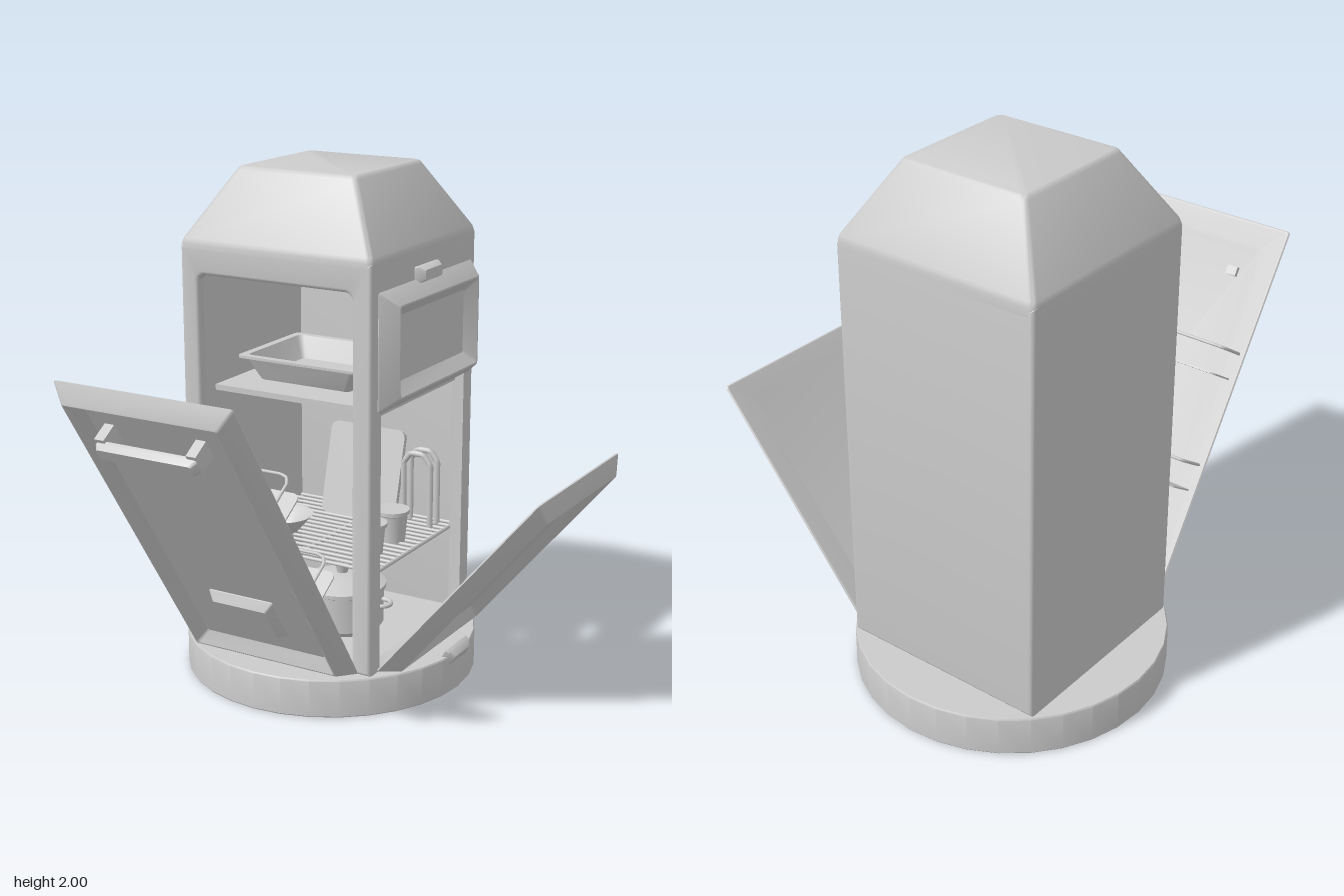
import * as THREE from 'three';
import { toCreasedNormals } from 'three/addons/utils/BufferGeometryUtils.js';

const mat = new THREE.MeshStandardMaterial({ color: 0xcccccc });
const thin = new THREE.MeshStandardMaterial({ color: 0xcccccc, side: THREE.DoubleSide });
const CX = -0.2475, CZ = -0.328, HALF = 0.4075;

function add(parent, name, geo, x = 0, y = 0, z = 0, material = mat) {
  const m = new THREE.Mesh(geo, material);
  m.name = name;
  m.position.set(x, y, z);
  parent.add(m);
  return m;
}

function group(parent, name, x = 0, y = 0, z = 0) {
  const g = new THREE.Group();
  g.name = name;
  g.position.set(x, y, z);
  parent.add(g);
  return g;
}

const box = (w, h, d) => new THREE.BoxGeometry(w, h, d);

// Rounded rectangle given by its limits
function roundRect(Type, x0, y0, x1, y1, r) {
  const s = new Type();
  s.absarc(x1 - r, y0 + r, r, -Math.PI / 2, 0);
  s.absarc(x1 - r, y1 - r, r, 0, Math.PI / 2);
  s.absarc(x0 + r, y1 - r, r, Math.PI / 2, Math.PI);
  s.absarc(x0 + r, y0 + r, r, Math.PI, Math.PI * 1.5);
  s.closePath();
  return s;
}

// Solid through rounded rectangles [halfWidth, halfHeight, z], capped at both ends
function loft(rings, r = 0.012, crease = 0.5) {
  const steps = 3, n = 4 * (steps + 1), pos = [], idx = [];
  for (const [w, h, z] of rings)
    for (let c = 0; c < 4; c++)
      for (let i = 0; i <= steps; i++) {
        const a = (c + i / steps) * Math.PI / 2 - Math.PI / 2;
        const sx = c < 2 ? 1 : -1, sy = c === 1 || c === 2 ? 1 : -1;
        pos.push(sx * (w - r) + r * Math.cos(a), sy * (h - r) + r * Math.sin(a), z);
      }
  for (let k = 0; k < rings.length - 1; k++)
    for (let i = 0; i < n; i++) {
      const a = k * n + i, b = k * n + (i + 1) % n;
      idx.push(a, b, b + n, a, b + n, a + n);
    }
  const last = (rings.length - 1) * n;
  for (let i = 1; i < n - 1; i++) idx.push(0, i + 1, i, last, last + i, last + i + 1);
  const g = new THREE.BufferGeometry();
  g.setAttribute('position', new THREE.Float32BufferAttribute(pos, 3));
  g.setIndex(idx);
  return toCreasedNormals(g, crease);
}
const loftUp = (rings, r, crease) => loft(rings, r, crease).rotateX(-Math.PI / 2);

// Straight-sided tube through points
function rod(points, radius) {
  const path = new THREE.CurvePath();
  const v = points.map(p => new THREE.Vector3(...p));
  for (let i = 1; i < v.length; i++) path.add(new THREE.LineCurve3(v[i - 1], v[i]));
  return new THREE.TubeGeometry(path, (v.length - 1) * 8, radius, 8, false);
}

const lathe = (pts, seg = 32) =>
  toCreasedNormals(new THREE.LatheGeometry(pts.map(p => new THREE.Vector2(...p)), seg), 0.6);

// Pressed door leaf: dished inside, raised rim and sunken panel outside; y runs from hinge to tip
function doorLeaf(parent, w, len) {
  const hw = w / 2, hl = len / 2;
  const ring = (inset, z) => [hw - inset, hl - inset, z];
  return add(parent, 'doorLeaf', loft([
    ring(0.095, 0.018), ring(0.012, 0), ring(0.004, 0), ring(0, 0.006),
    ring(0.045, 0.062), ring(0.05, 0.066), ring(0.056, 0.066), ring(0.1, 0.026),
  ], 0.01, 0.4), 0, hl, 0);
}

// Wedge-shaped finger tab
function tab(parent, name, x, y, z) {
  const g = loft([[0.09, 0.032, 0], [0.085, 0.032, 0.015], [0.065, 0.02, 0.04]], 0.006);
  const m = add(parent, name, g, x, y, z);
  m.rotation.y = Math.PI / 2;
  return m;
}

function buildBody(root) {
  const body = group(root, 'body', CX, 0, CZ);
  const T = 0.05, Y0 = 0.155, Y1 = 1.72, B = 0.015;
  const wall = (name, half, hole, bevel) => {
    const s = new THREE.Shape([[-half, Y0], [half, Y0], [half, Y1], [-half, Y1]].map(p => new THREE.Vector2(...p)));
    if (hole) s.holes.push(hole);
    const geo = new THREE.ExtrudeGeometry(s, {
      depth: bevel ? T - 2 * B : T, bevelEnabled: bevel, bevelSize: B, bevelThickness: B,
      bevelOffset: -B, bevelSegments: 4, curveSegments: 6,
    });
    geo.translate(0, 0, bevel ? HALF - T + B : HALF - T);
    return add(body, name, toCreasedNormals(geo, 0.5));
  };
  wall('frontFrame', HALF, roundRect(THREE.Path, -0.332, 0.17, 0.328, 1.61, 0.03), true);
  wall('backWall', HALF, null, true).rotation.y = Math.PI;
  wall('rightFrame', HALF - B, roundRect(THREE.Path, -0.33, 0.17, 0.33, 1.57, 0.004), false).rotation.y = Math.PI / 2;
  wall('leftWall', HALF - B, null, false).rotation.y = -Math.PI / 2;
  add(body, 'floor', box(0.78, 0.02, 0.78), 0, 0.16, 0);
  add(body, 'roof', loftUp([
    [HALF, HALF, 1.69], [HALF, HALF, 1.722], [0.402, 0.402, 1.742],
    [0.258, 0.258, 1.985], [0.251, 0.251, 1.996], [0.242, 0.242, 2],
  ], 0.02, 0.7));
}

function buildFrontDoor(root) {
  const door = group(root, 'frontDoor', -0.25, 0.165, 0.08);
  door.rotation.x = Math.atan2(0.8, 1.225);
  doorLeaf(door, 0.73, 1.463);
  // Pull handle and raised plate outside
  add(door, 'handleBar', loft([[0.208, 0.03, 0.09], [0.208, 0.03, 0.105], [0.195, 0.024, 0.128]], 0.012), 0, 1.258, 0);
  for (const s of [-1, 1]) {
    add(door, 'handlePost', box(0.04, 0.075, 0.08), s * 0.188, 1.265, 0.06);
    add(door, 'handleFixing', box(0.042, 0.035, 0.02), s * 0.188, 1.262, 0.012);
  }
  add(door, 'plate', loft([[0.14, 0.1, 0.02], [0.14, 0.1, 0.03], [0.115, 0.075, 0.062]], 0.006), 0, 0.3, 0);
  // Inner racks: a thin ledge with a rail above it
  for (const s of [0.43, 0.872]) {
    const shape = roundRect(THREE.Shape, -0.337, -0.14, 0.337, 0.02, 0.03);
    const ledge = add(door, 'rackLedge', new THREE.ExtrudeGeometry(shape, { depth: 0.006, bevelEnabled: false }), 0, s, 0);
    ledge.rotation.x = Math.PI / 2;
    const rail = [[-0.337, 0.02], [-0.337, -0.1], [-0.325, -0.127], [-0.297, -0.138],
      [0.297, -0.138], [0.325, -0.127], [0.337, -0.1], [0.337, 0.02]];
    add(door, 'rackRail', rod(rail.map(([x, z]) => [x, s + 0.1, z]), 0.006));
  }
}

function buildSideDoors(root) {
  const lower = group(root, 'lowerSideDoor', 0.16, 0.165, CZ - 0.004);
  lower.rotation.y = Math.PI / 2;
  const tilt = group(lower, 'lowerSideLeaf');
  tilt.rotation.x = Math.atan2(0.64, 0.77);
  doorLeaf(tilt, 0.73, 1.0);

  const upper = group(root, 'upperSideDoor', 0.158, 1.168, CZ - 0.004);
  upper.rotation.y = Math.PI / 2;
  doorLeaf(upper, 0.725, 0.445);
  tab(root, 'upperDoorTab', 0.155, 1.627, -0.328);
  tab(root, 'baseTab', 0.3, 0.152, -0.328).rotation.set(0, Math.PI / 2, -0.5, 'ZYX');
}

function buildInterior(root) {
  const inside = group(root, 'interior');
  // Upper shelf with a baking tray
  add(inside, 'shelf', box(0.74, 0.022, 0.64), CX, 1.145, -0.38);
  add(inside, 'tray', loftUp([
    [0.2, 0.16, 0], [0.245, 0.2, 0.09], [0.265, 0.22, 0.09], [0.265, 0.22, 0.1], [0.235, 0.19, 0.1], [0.195, 0.155, 0.015],
  ], 0.02), -0.3, 1.157, -0.37);
  // Wire rack
  const Y = 0.53;
  for (let i = 0; i <= 16; i++) {
    const z = -0.68 + i * 0.04;
    add(inside, 'rackWire', rod([[-0.61, Y, z], [0.115, Y, z]], 0.007));
  }
  for (const x of [-0.6, CX, 0.105]) add(inside, 'rackSupport', rod([[x, Y - 0.01, -0.69], [x, Y - 0.01, -0.03]], 0.009));
  // Things on the rack
  const cup = [[0, 0], [0.05, 0], [0.06, 0.11], [0.068, 0.115], [0.068, 0.13], [0, 0.13]];
  add(inside, 'cup', lathe(cup, 24), 0.0, Y, -0.38, thin);
  add(inside, 'cup', lathe(cup, 24), 0.0, Y, -0.2, thin);
  const board = add(inside, 'board', loft([[0.17, 0.19, 0], [0.17, 0.19, 0.02]], 0.03), -0.25, Y + 0.18, -0.6);
  board.rotation.x = -0.25;
  for (const z of [-0.58, -0.64])
    add(inside, 'archedRail', rod([[-0.06, Y, z], [-0.06, Y + 0.26, z], [-0.03, Y + 0.3, z],
      [0.03, Y + 0.3, z], [0.06, Y + 0.26, z], [0.06, Y, z]], 0.012));
  add(inside, 'bowl', lathe([[0, 0], [0.06, 0], [0.12, 0.07], [0.125, 0.075], [0.112, 0.07], [0.055, 0.012], [0, 0.012]]), -0.43, Y, -0.25, thin);
  // Lidded pot on the floor
  const pot = group(inside, 'pot', -0.18, 0.17, -0.3);
  add(pot, 'potBody', lathe([[0, 0], [0.15, 0], [0.165, 0.02], [0.165, 0.16], [0.175, 0.165], [0.175, 0.18], [0.09, 0.215], [0, 0.22]]), 0, 0, 0, thin);
  add(pot, 'lidKnob', new THREE.CylinderGeometry(0.03, 0.02, 0.04, 16), 0, 0.235, 0);
  for (const s of [-1, 1]) {
    const ear = add(pot, 'potHandle', new THREE.TorusGeometry(0.04, 0.009, 8, 16), s * 0.175, 0.12, 0);
    ear.rotation.x = Math.PI / 2;
  }
}

export function createModel() {
  const root = new THREE.Group();
  root.name = 'cabinet';
  // Round plinth
  add(root, 'base', lathe([[0, 0], [0.574, 0], [0.577, 0.004], [0.577, 0.146], [0.573, 0.152], [0, 0.152]], 32), CX, 0, CZ);
  buildBody(root);
  buildFrontDoor(root);
  buildSideDoors(root);
  buildInterior(root);
  return root;
}
